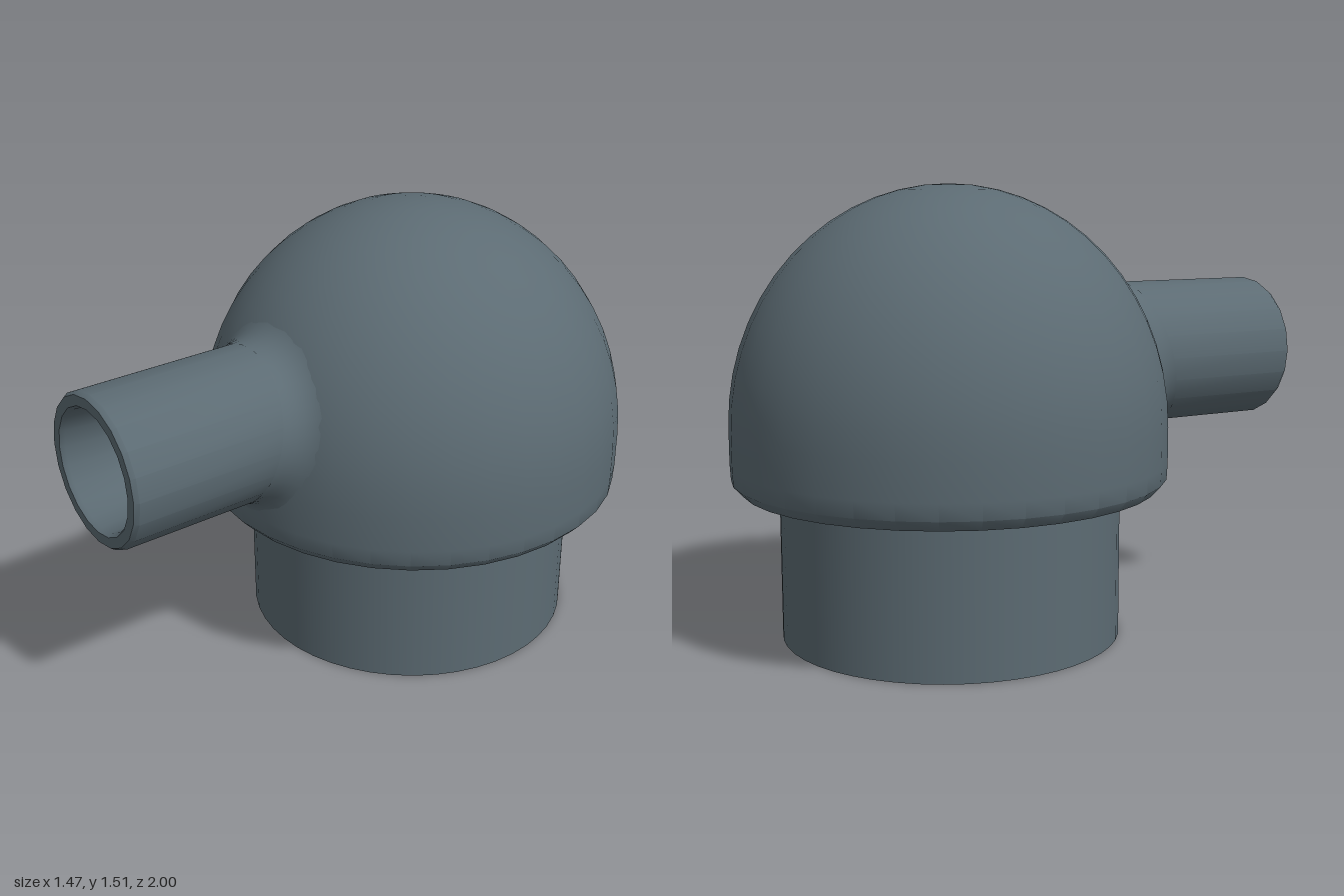
import * as THREE from 'three';
import { toCreasedNormals } from 'three/addons/utils/BufferGeometryUtils.js';
import { ParametricGeometry } from 'three/addons/geometries/ParametricGeometry.js';

const CZ = -0.265;          // z of the vertical axis
const R = 0.735;            // dome radius
const SHOULDER = 0.72;      // height where the dome starts curving in
const RISE = 0.795;         // dome height above the shoulder
const PIPE_Y = 0.915, PIPE_R = 0.255;

const lathe = (pts, sides) =>
  new THREE.LatheGeometry(pts.map(([r, y]) => new THREE.Vector2(r, y)), sides);

// Front surface of the dome at a given x, y
function domeFront(x, y) {
  const t = Math.max(0, (y - SHOULDER) / RISE);
  return CZ + Math.sqrt(R * R * (1 - t * t) - x * x);
}

export function createModel() {
  const group = new THREE.Group();
  const material = new THREE.MeshStandardMaterial({ color: 0x5c6b73 });
  const openMaterial = new THREE.MeshStandardMaterial({ color: 0x5c6b73, side: THREE.DoubleSide });

  const add = (name, geometry, mat = material) => {
    const mesh = new THREE.Mesh(geometry, mat);
    mesh.name = name;
    group.add(mesh);
    return mesh;
  };

  // Base collar: thin open tube
  const collar = add('baseCollar', new THREE.CylinderGeometry(0.575, 0.575, 0.51, 48, 1, true), openMaterial);
  collar.position.set(0, 0.255, CZ);

  // Dome with chamfered lower edge and flat underside
  const profile = [[0, 0.51], [0.7, 0.51], [R - 0.003, 0.545], [R, 0.6], [R, SHOULDER]];
  const steps = 14;
  for (let i = 1; i <= steps; i++) {
    const a = (i / steps) * Math.PI / 2;
    profile.push([i === steps ? 0 : R * Math.cos(a), SHOULDER + RISE * Math.sin(a)]);
  }
  const dome = add('dome', toCreasedNormals(lathe(profile, 36), 0.7));
  dome.position.z = CZ;

  // Spout: outer wall, rim, tapered bore and its floor
  const spout = add('spout', toCreasedNormals(lathe([
    [PIPE_R, 0.25], [PIPE_R, 0.985], [0.245, 1], [0.21, 1],
    [0.2, 0.985], [0.16, 0.5], [0, 0.5],
  ], 20), 0.6));
  spout.rotation.x = Math.PI / 2;
  spout.position.y = PIPE_Y;

  // Fillet sweeping from the spout into the dome
  const fillet = (u, v, target) => {
    const a = -u * Math.PI * 2, c = Math.cos(a), s = Math.sin(a);
    const at = (r, dz) => new THREE.Vector3(r * c, PIPE_Y + r * s, domeFront(r * c, PIPE_Y + r * s) + dz);
    const curve = new THREE.QuadraticBezierCurve3(at(PIPE_R, 0.08), at(PIPE_R, 0), at(PIPE_R + 0.065, -0.006));
    curve.getPoint(v, target);
  };
  add('spoutFillet', new ParametricGeometry(fillet, 40, 6));

  return group;
}
